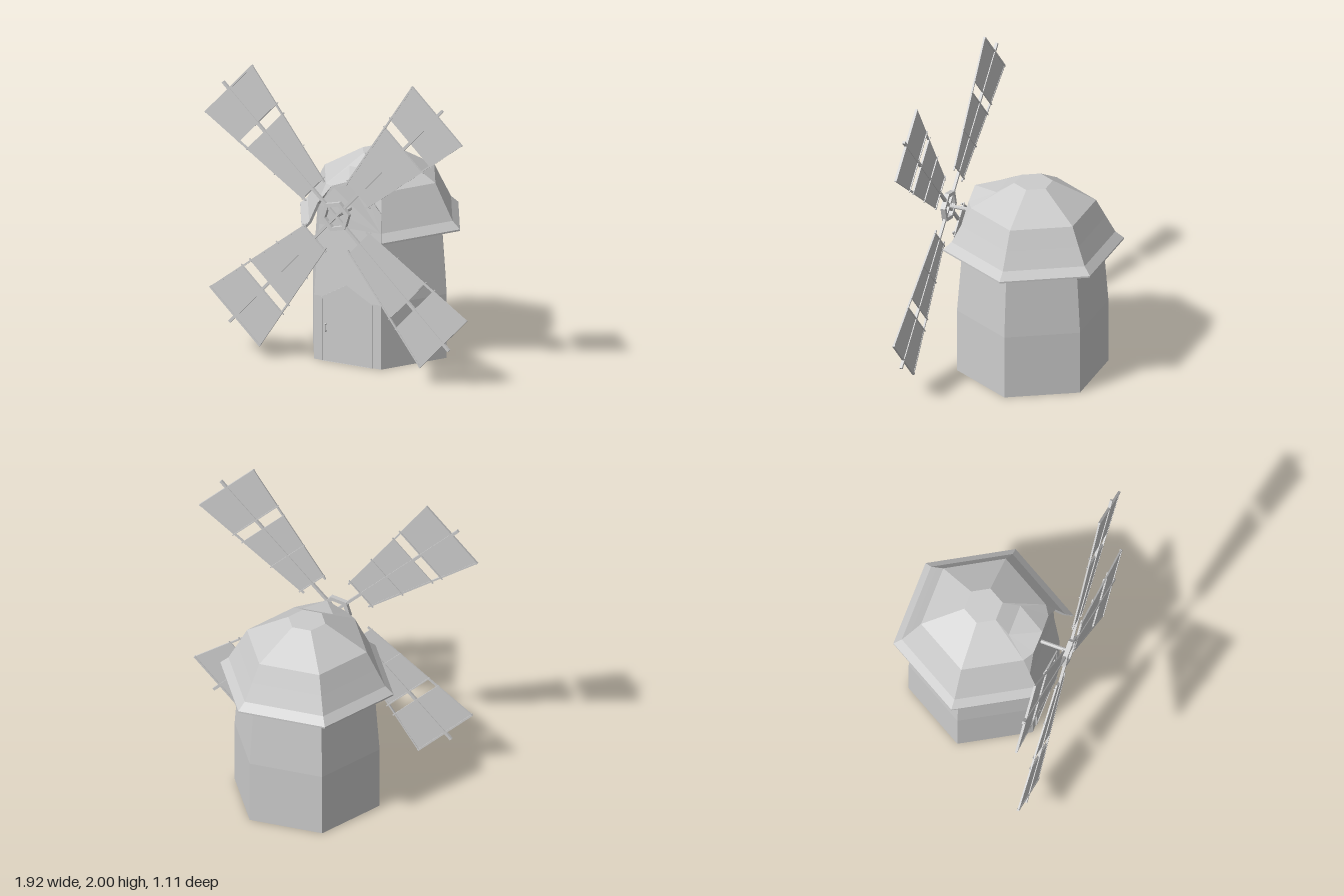
import * as THREE from 'three';

const stone = new THREE.MeshStandardMaterial({ color: 0xcccccc, side: THREE.DoubleSide, flatShading: true });
stone.name = 'pale grey';

function add(parent, name, geometry, x = 0, y = 0, z = 0) {
  const m = new THREE.Mesh(geometry, stone);
  m.name = name;
  m.position.set(x, y, z);
  parent.add(m);
  return m;
}

// Flat-shaded geometry from convex polygons, each a list of [x, y, z] corners
function facets(polys) {
  const pos = [];
  for (const p of polys)
    for (let i = 1; i < p.length - 1; i++) pos.push(...p[0], ...p[i], ...p[i + 1]);
  const g = new THREE.BufferGeometry();
  g.setAttribute('position', new THREE.Float32BufferAttribute(pos, 3));
  g.computeVertexNormals();
  return g;
}

// Corner k of a six-sided ring; corners 1 and 2 are at the front
const corner = (r, y, k, cz) => [r * Math.cos(k * Math.PI / 3), y, cz + r * Math.sin(k * Math.PI / 3)];
const flip = p => p.map(([x, y, z]) => [-x, y, z]).reverse();
const inward = polys => polys.map(p => [...p].reverse());

// Bands of wall between profile points [r, y], from corner k0 to k1
function bands(profile, k0, k1, cz) {
  const out = [];
  for (let i = 0; i < profile.length - 1; i++)
    for (let k = k0; k < k1; k++) {
      const [r, y] = profile[i], [r2, y2] = profile[i + 1];
      out.push([corner(r, y, k, cz), corner(r2, y2, k, cz), corner(r2, y2, k + 1, cz), corner(r, y, k + 1, cz)]);
    }
  return out;
}

// Strip joining two matching point lists
const strip = (a, b) => a.slice(1).map((p, i) => [a[i], p, b[i + 1], b[i]]);

function tower() {
  const cz = -0.043, t = 0.018;
  const profile = [[0.49, 0], [0.49, 0.43], [0.453, 0.9], [0.447, 0.98]];
  const inner = profile.map(([r, y]) => [r - t, y]);
  const ring = r => [0, 1, 2, 3, 4, 5, 6].map(k => corner(r, 0, k, cz));
  const gable = [[0.2265, 0.9, 0.349], [0.225, 1.03, 0.347], [0.122, 1.155, 0.342], [0, 1.205, 0.347],
    [-0.122, 1.155, 0.342], [-0.225, 1.03, 0.347], [-0.2265, 0.9, 0.349]];
  return facets([
    ...bands(profile.slice(0, 3), 0, 6, cz),
    ...bands(profile.slice(2), 2, 7, cz),
    ...inward(bands(inner, 0, 6, cz)),
    ...strip(ring(0.49), ring(0.49 - t)),
    gable,
  ]);
}

// One skin of the cap, with its front arch; t is the inset from the outside
function capSkin(t) {
  const cz = -0.048;
  const profile = [[0.585, 0.865], [0.585, 0.876], [0.53, 0.925], [0.468, 1.04], [0.405, 1.16], [0.125, 1.32]]
    .map(([r, y], i) => [r - t, i < 2 ? y : y - t * 0.5]);
  const at = (i, k) => corner(...profile[i], k, cz);
  const c = at(4, 1), top = at(5, 1), a2 = at(3, 1);
  const a3 = [0.135 - t * 0.7, 1.168 - t * 0.8, 0.345];
  const a4 = [0, 1.22 - t, 0.355];
  const shoulder = [0.105, 1.255 - t, 0.165];
  const side = [[a2, c, a3], [c, shoulder, a3], [a3, shoulder, a4], [c, top, shoulder]];
  const [shoulder2, top2] = [flip([shoulder])[0], flip([top])[0]];
  const polys = [
    ...bands(profile, 2, 7, cz),
    ...side, ...side.map(flip),
    [a4, shoulder, shoulder2], [shoulder, top, top2, shoulder2],
    [5, 4, 3, 2, 1, 0].map(k => at(5, k)),
  ];
  const half = [at(0, 1), at(1, 1), at(2, 1), a2, a3];
  const eave = [2, 3, 4, 5, 6, 7].map(k => at(0, k));
  return { polys, edge: [...eave, ...half.slice(1), a4, ...flip(half)] };
}

function cap() {
  const outer = capSkin(0), inner = capSkin(0.018);
  return facets([...outer.polys, ...inward(inner.polys), ...strip(outer.edge, inner.edge)]);
}

// Pentagonal doorway outline
function doorShape(w, shoulder, peak, Type = THREE.Shape) {
  const s = new Type();
  [[-w, 0], [w, 0], [w, shoulder], [0, peak], [-w, shoulder]].forEach(([x, y], i) => i ? s.lineTo(x, y) : s.moveTo(x, y));
  s.closePath();
  return s;
}
const extrude = (shape, depth) => new THREE.ExtrudeGeometry(shape, { depth, bevelEnabled: false });

// Square bar between two points in the sail plane
function bar(parent, name, [x1, y1], [x2, y2], w, d = w, z = 0) {
  const m = add(parent, name, new THREE.BoxGeometry(Math.hypot(x2 - x1, y2 - y1), w, d), (x1 + x2) / 2, (y1 + y2) / 2, z);
  m.rotation.z = Math.atan2(y2 - y1, x2 - x1);
}

function sail() {
  const g = new THREE.Group();
  g.name = 'sail';
  const half = u => 0.1 + (u - 0.22) * 0.17; // half width along the sail
  bar(g, 'spar', [0, 0], [1.135, 0], 0.018);
  for (const s of [1, -1]) bar(g, 'rail', [0.21, s * half(0.21)], [1.08, s * half(1.08)], 0.011);
  for (const u of [0.235, 0.475, 0.715, 0.79])
    bar(g, 'rung', [u, -half(u) - 0.016], [u, half(u) + 0.016], 0.007, 0.008, -0.006);
  bar(g, 'tipBar', [1.075, -0.252], [1.075, 0.252], 0.012, 0.016);
  for (const [a, b] of [[0.235, 0.715], [0.79, 1.075]]) {
    const s = new THREE.Shape([[a, -half(a)], [b, -half(b)], [b, half(b)], [a, half(a)]].map(p => new THREE.Vector2(...p)));
    add(g, 'cloth', extrude(s, 0.006), 0, 0, -0.003);
  }
  return g;
}

export function createModel() {
  const model = new THREE.Group();
  model.name = 'windmill';

  add(model, 'tower', tower());
  add(model, 'cap', cap());

  // Door with frame and handle
  const frame = doorShape(0.188, 0.425, 0.53);
  frame.holes.push(doorShape(0.174, 0.416, 0.514, THREE.Path));
  add(model, 'doorFrame', extrude(frame, 0.025), -0.005, 0, 0.364);
  add(model, 'door', extrude(doorShape(0.176, 0.417, 0.516), 0.02), -0.005, 0, 0.364);
  add(model, 'handle', new THREE.BoxGeometry(0.008, 0.055, 0.005), -0.157, 0.225, 0.399);
  for (const y of [0.202, 0.248]) add(model, 'handleMount', new THREE.BoxGeometry(0.012, 0.008, 0.018), -0.157, y, 0.391);

  // Rotor: axle, ring hub and four sails
  const rotor = new THREE.Group();
  rotor.name = 'rotor';
  rotor.position.set(0, 1.036, 0.535);
  model.add(rotor);
  add(rotor, 'axle', new THREE.CylinderGeometry(0.013, 0.013, 0.24, 8), 0, 0, -0.12).rotation.x = Math.PI / 2;

  const hexagon = r => Array.from({ length: 6 }, (_, k) =>
    new THREE.Vector2(r * Math.cos(k * Math.PI / 3 + 0.23), r * Math.sin(k * Math.PI / 3 + 0.23)));
  const hub = new THREE.Shape(hexagon(0.105));
  hub.holes.push(new THREE.Path(hexagon(0.077)));
  add(rotor, 'hubRing', extrude(hub, 0.032), 0, 0, -0.014);

  for (let i = 0; i < 4; i++) {
    const s = sail();
    s.rotation.z = THREE.MathUtils.degToRad(46.7 + i * 90);
    rotor.add(s);
  }
  return model;
}
